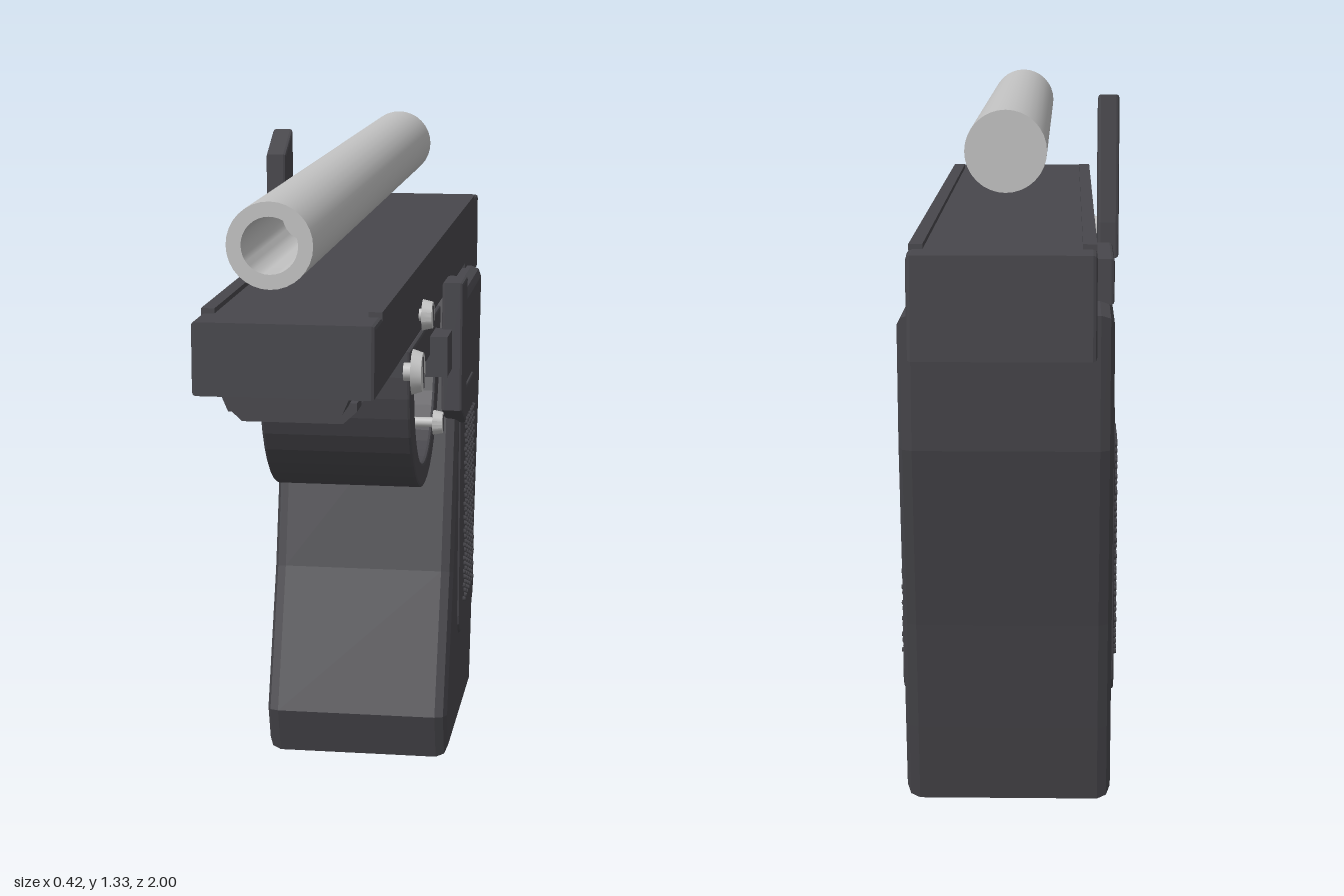
import * as THREE from 'three';
import { mergeGeometries, toCreasedNormals } from 'three/addons/utils/BufferGeometryUtils.js';

const paint = (name, color) => {
  const m = new THREE.MeshStandardMaterial({ color });
  m.name = name;
  return m;
};

// Side profile given as [z, y] points, extruded across x from x0 to x1.
function sideExtrude(points, x0, x1, bevel = 0.006, hole = null, inset = bevel) {
  const shape = new THREE.Shape(points.map(([z, y]) => new THREE.Vector2(z, y)));
  if (hole) shape.holes.push(new THREE.Path(hole.map(([z, y]) => new THREE.Vector2(z, y))));
  const geo = new THREE.ExtrudeGeometry(shape, {
    depth: x1 - x0 - 2 * bevel, bevelEnabled: bevel > 0, bevelThickness: bevel,
    bevelSize: inset, bevelOffset: -inset, bevelSegments: 2, curveSegments: 6,
  });
  geo.rotateY(-Math.PI / 2);
  geo.translate(x1 - bevel, 0, 0);
  return geo;
}

const rect = (z0, z1, y0, y1) => [[z0, y0], [z1, y0], [z1, y1], [z0, y1]];

function arc(cz, cy, rz, ry, n) {
  return Array.from({ length: n + 1 }, (_, i) => {
    const a = (Math.PI * i) / n;
    return [cz + rz * Math.cos(a), cy - ry * Math.sin(a)];
  });
}

function roundedRect(z0, z1, y0, y1, r) {
  const out = [];
  [[z1 - r, y1 - r], [z0 + r, y1 - r], [z0 + r, y0 + r], [z1 - r, y0 + r]].forEach(([cz, cy], q) => {
    for (let i = 0; i <= 4; i++) {
      const a = (q + i / 4) * Math.PI / 2;
      out.push([cz + r * Math.cos(a), cy + r * Math.sin(a)]);
    }
  });
  return out;
}

export function createModel() {
  const model = new THREE.Group();
  const dark = paint('charcoal', 0x48474c);
  const steel = paint('steel', 0xc2c2c2);
  const add = (name, geo, mat = dark, parent = model) => {
    const m = new THREE.Mesh(geo, mat);
    m.name = name;
    parent.add(m);
    return m;
  };

  // Barrel, bored at the front and closed at the back
  const tube = new THREE.LatheGeometry([
    [0, -0.72], [0.073, -0.72], [0.073, 1], [0.048, 1], [0.048, 0.6], [0, 0.6],
  ].map(([r, y]) => new THREE.Vector2(r, y)), 32);
  tube.rotateX(Math.PI / 2);
  tube.translate(0, 1.255, 0);
  add('barrel', toCreasedNormals(tube, 0.6), steel);

  // Long upper body with a deeper block at the rear
  add('upperBody', sideExtrude([
    [0.882, 0.975], [0.882, 1.104], [-1, 1.104], [-1, 0.925], [-0.7, 0.925], [-0.7, 0.975],
  ].reverse(), -0.16, 0.16, 0.007));
  for (const s of [-1, 1]) {
    const ridge = new THREE.BoxGeometry(0.024, 0.02, 1.7);
    ridge.translate(s * 0.148, 1.103, -0.06);
    add('topRidge', ridge);
  }

  // Accessory rail under the front
  const railShape = new THREE.Shape([
    [-0.1, 0.945], [0.1, 0.945], [0.115, 0.98], [-0.115, 0.98],
  ].map(([x, y]) => new THREE.Vector2(x, y)));
  const rail = new THREE.ExtrudeGeometry(railShape, { depth: 0.515, bevelEnabled: false });
  rail.translate(0, 0, 0.345);
  add('rail', rail);
  const toothShape = new THREE.Shape([
    [-0.09, 0.912], [0.09, 0.912], [0.115, 0.935], [0.115, 0.95], [-0.115, 0.95], [-0.115, 0.935],
  ].map(([x, y]) => new THREE.Vector2(x, y)));
  for (let i = 0; i < 4; i++) {
    const tooth = new THREE.ExtrudeGeometry(toothShape, { depth: 0.055, bevelEnabled: false });
    tooth.translate(0, 0, 0.73 - i * 0.105);
    add('railTooth', tooth);
  }

  // Raked grip
  add('grip', sideExtrude([
    [-0.26, 0.967], [-0.742, 0.967], [-0.716, 0.716], [-0.625, 0.367], [-0.576, 0.153],
    [-0.54, 0], [-0.035, 0], [-0.003, 0.1], [-0.115, 0.394], [-0.228, 0.84],
  ], -0.195, 0.195, 0.025, null, 0.022));

  // Grip pads with staggered studs
  for (const s of [-1, 1]) {
    add('gripPad', sideExtrude(roundedRect(-0.55, -0.225, 0.21, 0.76, 0.05),
      s > 0 ? 0.18 : -0.2, s > 0 ? 0.2 : -0.18, 0.005));
    const studs = [];
    for (let row = 0; row < 27; row++) {
      const n = row % 2 ? 6 : 7;
      for (let i = 0; i < n; i++) {
        const stud = new THREE.CylinderGeometry(0.004, 0.007, 0.008, 6);
        stud.rotateZ(-s * Math.PI / 2);
        stud.translate(s * 0.202, 0.28 + row * 0.0156, -0.395 + (i - (n - 1) / 2) * 0.031);
        studs.push(stud);
      }
    }
    add('gripStuds', mergeGeometries(studs));
  }

  // Trigger guard and trigger
  add('triggerGuard', sideExtrude(
    [[-0.26, 0.952], [0.297, 0.952], ...arc(0.025, 0.9, 0.272, 0.278, 20)].reverse(),
    -0.15, 0.15, 0.006, arc(0.025, 0.877, 0.2, 0.205, 20)));
  add('trigger', sideExtrude([
    [0.09, 0.885], [-0.02, 0.885], [-0.02, 0.73], [0.055, 0.688], [0.115, 0.74],
  ], -0.06, 0.06));

  // Pivoting side levers: one hangs down, the other stands up
  const lever = [[-0.137, 1.02], [-0.238, 1.02], [-0.238, 0.95], [-0.228, 0.7], [-0.137, 0.745]];
  add('leftLever', sideExtrude(lever, 0.165, 0.21));
  add('rightLever', sideExtrude(lever.map(([z, y]) => [z, 2.03 - y]).reverse(), -0.21, -0.168));
  add('rightLeverMount', sideExtrude(rect(-0.235, -0.14, 0.968, 1.02), -0.197, -0.15));
  add('slideCatch', sideExtrude(rect(-0.55, -0.28, 0.96, 1.045), -0.197, -0.15));
  for (const s of [-1, 1]) {
    const tab = new THREE.BoxGeometry(0.05, 0.085, 0.11);
    tab.translate(s * 0.162, 0.878, -0.1);
    add('leverTab', tab);
  }

  // Slotted side screws
  const screws = [[0.235, 1.015, 0.031, 0.15], [0.4, 0.933, 0.044, 0.15], [0.03, 0.755, 0.026, 0.06]];
  for (const s of [-1, 1]) {
    for (const [z, y, r, inner] of screws) {
      const screw = new THREE.Group();
      screw.name = 'sideScrew';
      screw.position.set(0, y, z);
      model.add(screw);
      const head = new THREE.CylinderGeometry(r * 0.85, r, 0.02, 20);
      head.rotateZ(-s * Math.PI / 2);
      head.translate(s * 0.177, 0, 0);
      add('screwHead', toCreasedNormals(head, 0.6), steel, screw);
      const len = 0.17 - inner;
      const shank = new THREE.CylinderGeometry(r * 0.4, r * 0.4, len, 10);
      shank.rotateZ(Math.PI / 2);
      shank.translate(s * (inner + len / 2), 0, 0);
      add('screwShank', shank, steel, screw);
      const slot = new THREE.BoxGeometry(0.003, r * 1.5, r * 0.18);
      slot.rotateX(0.3);
      slot.translate(s * 0.187, 0, 0);
      add('screwSlot', slot, dark, screw);
    }
  }
  return model;
}
